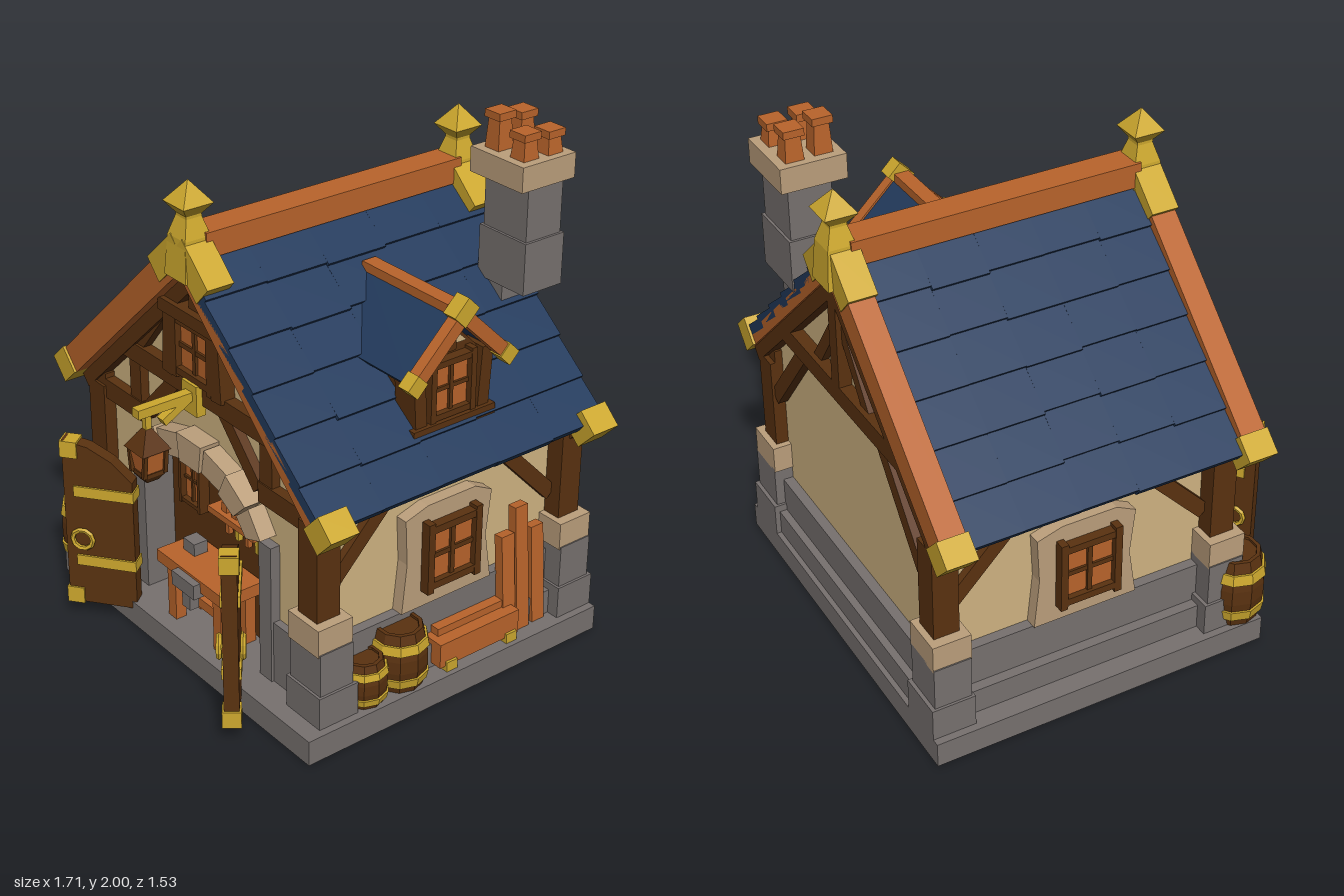
import * as THREE from 'three';

const mat = (name, color) => new THREE.MeshStandardMaterial({ name, color, flatShading: true });
const WOOD = mat('dark wood', 0x5a3210), ORANGE = mat('orange wood', 0xb9642b), BLUE = mat('blue tile', 0x223a5c),
  GOLD = mat('gold metal', 0xcda82e), WALL = mat('plaster', 0xd0b482), STONE = mat('grey stone', 0x77716f),
  SAND = mat('sandstone', 0xbc9f7c);

let seed = 7;
const rnd = () => (seed = (seed * 16807) % 2147483647) / 2147483647;

function add(p, name, m, geo, x = 0, y = 0, z = 0) {
  const o = new THREE.Mesh(geo, m);
  o.name = name;
  o.position.set(x, y, z);
  p.add(o);
  return o;
}
function group(p, name, x = 0, y = 0, z = 0) {
  const g = new THREE.Group();
  g.name = name;
  g.position.set(x, y, z);
  p.add(g);
  return g;
}
// box given by its bounds
const box = (p, name, m, x0, x1, y0, y1, z0, z1) => add(p, name, m,
  new THREE.BoxGeometry(Math.abs(x1 - x0), y1 - y0, z1 - z0), (x0 + x1) / 2, (y0 + y1) / 2, (z0 + z1) / 2);
// straight timber between two points of a vertical plane
function beam(p, name, m, x1, y1, x2, y2, w, z0, z1) {
  const o = add(p, name, m, new THREE.BoxGeometry(Math.hypot(x2 - x1, y2 - y1), w, z1 - z0),
    (x1 + x2) / 2, (y1 + y2) / 2, (z0 + z1) / 2);
  o.rotation.z = Math.atan2(y2 - y1, x2 - x1);
  return o;
}
const outline = pts => new THREE.Shape(pts.map(q => new THREE.Vector2(q[0], q[1])));
const plate = (p, name, m, shape, z0, z1) => add(p, name, m,
  new THREE.ExtrudeGeometry(shape, { depth: z1 - z0, bevelEnabled: false, curveSegments: 10 }), 0, 0, z0);
// lathe with few sides, flats facing the axes when it has four
const turned = (p, name, m, pts, n, x, y, z) => add(p, name, m,
  new THREE.LatheGeometry(pts.map(q => new THREE.Vector2(q[0], q[1])), n, Math.PI / n), x, y, z);

// four-pane window facing +z
function windowUnit(p, x, y, z, w, h) {
  const g = group(p, 'window', x, y, z), t = w * 0.13;
  box(g, 'panes', ORANGE, -w / 2, w / 2, -h / 2, h / 2, -0.02, 0.005);
  for (const s of [-1, 1]) {
    box(g, 'frameSide', WOOD, s * w / 2 - t / 2, s * w / 2 + t / 2, -h / 2 - t, h / 2 + t, -0.02, 0.03);
    box(g, 'frameRail', WOOD, -w / 2, w / 2, s * h / 2 - t / 2, s * h / 2 + t / 2, -0.02, 0.028);
  }
  box(g, 'mullion', WOOD, -t / 3, t / 3, -h / 2, h / 2, 0, 0.016);
  box(g, 'transom', WOOD, -w / 2, w / 2, -t / 3, t / 3, 0, 0.014);
}

function barrel(p, x, z, r, h) {
  const g = group(p, 'barrel', x, 0.09, z);
  const rad = t => r * (0.8 + 0.2 * Math.sin(Math.PI * t));
  const ts = [0, 0.2, 0.4, 0.6, 0.8, 1];
  turned(g, 'staves', WOOD, [[0, 0], ...ts.map(t => [rad(t), t * h]), [rad(1) - 0.015, h], [rad(1) - 0.015, h - 0.01], [0, h - 0.01]], 10, 0, 0, 0);
  for (const t of [0.22, 0.78]) turned(g, 'hoop', GOLD,
    [[rad(t - 0.07) - 0.01, (t - 0.07) * h], [rad(t - 0.07) + 0.008, (t - 0.07) * h],
      [rad(t + 0.07) + 0.008, (t + 0.07) * h], [rad(t + 0.07) - 0.01, (t + 0.07) * h]], 10, 0, 0, 0);
}

function walls(root) {
  const g = group(root, 'walls');
  box(g, 'foundation', STONE, -0.79, 0.79, 0, 0.1, -0.76, 0.61);
  const gable = [[-0.62, 0.1], [-0.62, 0.98], [0, 1.57], [0.62, 0.98], [0.62, 0.1]];
  plate(g, 'backWall', WALL, outline(gable), -0.67, -0.6);
  // front wall with arched doorway
  const front = outline([...gable, [0.37, 0.1], [0.37, 0.62]]);
  front.absellipse(0, 0.62, 0.37, 0.21, 0, Math.PI, false);
  front.lineTo(-0.37, 0.1);
  plate(g, 'frontWall', WALL, front, 0.38, 0.46);
  box(g, 'workshopBackdrop', WOOD, -0.6, 0.6, 0.1, 0.95, 0.33, 0.37);
  box(g, 'backCourse', STONE, -0.64, 0.64, 0.1, 0.34, -0.71, -0.6);
  box(g, 'backStep', STONE, -0.7, 0.7, 0.1, 0.2, -0.74, -0.6);
  for (const s of [-1, 1]) {
    box(g, 'sideWall', WALL, s * 0.57, s * 0.63, 0.1, 0.95, -0.64, 0.42);
    box(g, 'sideCourse', STONE, s * 0.58, s * 0.67, 0.1, 0.36, -0.64, 0.42);
    box(g, 'sideStep', STONE, s * 0.58, s * 0.71, 0.1, 0.2, -0.64, 0.42);
    box(g, 'frontCourse', STONE, s * 0.38, s * 0.6, 0.1, 0.35, 0.4, 0.49);
    box(g, 'doorJamb', STONE, s * 0.36, s * 0.43, 0.1, 0.66, 0.37, 0.5);
    box(g, 'eaveBeam', WOOD, s * 0.6, s * 0.7, 0.85, 0.92, -0.7, 0.5);
    for (const z of [0.46, -0.67]) {
      box(g, 'pillarFoot', STONE, s * 0.57, s * 0.76, 0.1, 0.23, z - 0.09, z + 0.08);
      box(g, 'pillar', STONE, s * 0.58, s * 0.75, 0.23, 0.4, z - 0.075, z + 0.07);
      box(g, 'pillarCap', SAND, s * 0.575, s * 0.745, 0.39, 0.5, z - 0.075, z + 0.075);
      box(g, 'cornerPost', WOOD, s * 0.6, s * 0.705, 0.5, 0.87, z - 0.05, z + 0.05);
    }
    // side window and braces, facing outward
    const side = group(g, 'sideFace');
    side.rotation.y = s * Math.PI / 2;
    beam(side, 'brace', WOOD, -s * 0.41, 0.59, -s * 0.13, 0.88, 0.06, 0.61, 0.66);
    beam(side, 'brace', WOOD, s * 0.62, 0.59, s * 0.34, 0.88, 0.06, 0.61, 0.66);
    const surround = outline([[-0.21, 0.36], [-0.19, 0.56], [-0.2, 0.74], [-0.1, 0.77], [0.12, 0.77], [0.2, 0.73], [0.18, 0.55], [0.21, 0.36]]);
    const w = group(side, 'windowBay', s * 0.1, 0, 0);
    plate(w, 'windowSurround', SAND, surround, 0.62, 0.68);
    windowUnit(w, 0, 0.57, 0.69, 0.22, 0.23);
  }
  // timber framing, front and back
  for (const [z0, z1] of [[0.44, 0.51], [-0.72, -0.65]]) {
    for (const s of [-1, 1]) {
      beam(g, 'rafter', WOOD, 0, 1.55, s * 0.74, 0.86, 0.09, z0, z1);
      if (z0 < 0) {
        beam(g, 'brace', WOOD, s * 0.3, 1.09, s * 0.6, 0.72, 0.06, z0 + 0.01, z1);
        beam(g, 'strut', WOOD, 0, 1.4, s * 0.2, 1.12, 0.05, z0 + 0.02, z1);
        continue;
      }
      box(g, 'sill', WOOD, s * 0.36, s * 0.64, 0.82, 0.9, z0, z1 - 0.01);
      beam(g, 'stud', WOOD, s * 0.4, 0.84, s * 0.4, 1.08, 0.07, z0, z1 - 0.015);
      beam(g, 'brace', WOOD, s * 0.14, 1.08, s * 0.35, 0.86, 0.06, z0, z1 - 0.015);
      beam(g, 'brace', WOOD, s * 0.18, 1.37, s * 0.4, 1.1, 0.055, z0, z1 - 0.015);
      beam(g, 'windowPost', WOOD, s * 0.15, 1.12, s * 0.13, 1.4, 0.06, z0, z1 + 0.01);
    }
    box(g, 'tieBeam', WOOD, -0.52, 0.52, 1.06, 1.135, z0, z1 - 0.005);
    beam(g, 'kingPost', WOOD, 0, z0 < 0 ? 1.12 : 1.4, 0, 1.56, 0.06, z0, z1 - 0.01);
  }
  box(g, 'collarBeam', WOOD, -0.18, 0.18, 1.36, 1.41, 0.44, 0.53);
  windowUnit(g, 0, 1.25, 0.49, 0.21, 0.2);
  // arch stones
  const at = (rx, ry, a) => [rx * Math.cos(a), 0.6 + ry * Math.sin(a)];
  for (let i = 0; i < 7; i++) {
    const a = 0.3 + i * 0.363, b = a + 0.355, k = i % 2 * 0.012;
    plate(g, 'archStone', SAND, outline([at(0.34, 0.21, a), at(0.43, 0.31 + k, a), at(0.43, 0.31 + k, b), at(0.34, 0.21, b)]), 0.38, 0.53 + k);
  }
}

function roof(root) {
  const g = group(root, 'roof'), rows = 6, step = 1.05 / rows;
  for (const s of [-1, 1]) {
    // local x runs down the slope
    const slope = group(g, 'slope', 0, 1.67, 0);
    slope.rotation.set(0, s > 0 ? 0 : Math.PI, -0.753);
    const put = (name, m, x0, x1, y0, y1, z0, z1) => box(slope, name, m, x0, x1, y0, y1,
      s > 0 ? z0 : -z1, s > 0 ? z1 : -z0);
    put('sheathing', WOOD, 0.02, 1.06, -0.075, -0.035, -0.7, 0.5);
    const zs = s > 0 ? [-0.73, 0.56] : [-0.64, 0.47], n = 5, w = (zs[1] - zs[0]) / n;
    for (let i = 0; i < rows; i++) for (let j = 0; j < n; j++) {
      const x = 0.01 + i * step, r = rnd() * 0.016;
      const t = put('tile', BLUE, x, x + step + 0.03 + r, -0.04, 0.0, zs[0] + j * w, zs[0] + (j + 1) * w);
      t.rotation.z = 0.07 + r;
    }
    const top = s > 0 ? -0.022 : 0.03;
    for (const z of [0.51, -0.68]) {
      put('bargeBoard', ORANGE, 0, 1.08, -0.075, top, z - 0.05, z + 0.05);
      put('eaveCap', GOLD, 1.04, 1.14, -0.075, 0.035, z - 0.06, z + 0.06);
      put('finialArm', GOLD, 0, 0.2, -0.05, 0.05, z - 0.055, z + 0.055);
    }
  }
  box(g, 'ridgeBeam', ORANGE, -0.06, 0.06, 1.62, 1.715, -0.66, 0.48);
  for (const z of [0.51, -0.69]) turned(g, 'finial', GOLD, [[0, 1.55], [0.09, 1.55], [0.075, 1.7], [0.045, 1.77], [0.045, 1.78], [0.088, 1.82], [0, 1.9]], 4, 0, 0, z);
}

function dormer(root) {
  const g = group(root, 'dormer', 0, 0, -0.12);
  g.rotation.y = Math.PI / 2;
  plate(g, 'dormerBody', WOOD, outline([[-0.14, 1.0], [-0.16, 1.27], [0, 1.43], [0.16, 1.27], [0.14, 1.0]]), 0.25, 0.62);
  plate(g, 'dormerGable', WALL, outline([[-0.08, 1.335], [0, 1.41], [0.08, 1.335]]), 0.62, 0.625);
  box(g, 'dormerKingPost', WOOD, -0.02, 0.02, 1.32, 1.43, 0.61, 0.64);
  box(g, 'dormerSill', WOOD, -0.185, 0.185, 1.03, 1.075, 0.55, 0.67);
  windowUnit(g, 0, 1.19, 0.63, 0.18, 0.2);
  for (const s of [-1, 1]) {
    beam(g, 'dormerPost', WOOD, s * 0.14, 1.07, s * 0.155, 1.3, 0.05, 0.55, 0.655);
    beam(g, 'dormerRoof', BLUE, 0, 1.475, s * 0.215, 1.265, 0.035, 0.2, 0.68);
    beam(g, 'dormerBarge', ORANGE, 0, 1.475, s * 0.215, 1.265, 0.05, 0.66, 0.705);
    beam(g, 'dormerTip', GOLD, s * 0.185, 1.295, s * 0.23, 1.25, 0.06, 0.655, 0.71);
  }
  box(g, 'dormerRidge', ORANGE, -0.03, 0.03, 1.45, 1.505, 0.19, 0.69);
  beam(g, 'dormerPeak', GOLD, -0.03, 1.46, 0.03, 1.52, 0.07, 0.65, 0.712);
}

function chimney(root) {
  const g = group(root, 'chimney');
  box(g, 'stackFoot', STONE, 0.3, 0.41, 1.22, 1.4, -0.72, -0.56);
  box(g, 'stack', STONE, 0.29, 0.53, 1.36, 1.56, -0.735, -0.55);
  box(g, 'stackUpper', STONE, 0.3, 0.52, 1.56, 1.77, -0.725, -0.56);
  box(g, 'chimneyCap', SAND, 0.27, 0.54, 1.765, 1.86, -0.76, -0.51);
  for (const [x, z, h] of [[0.34, -0.58, 0.14], [0.47, -0.58, 0.1], [0.335, -0.69, 0.12], [0.475, -0.69, 0.09]])
    turned(g, 'chimneyPot', ORANGE, [[0, 0], [0.05, 0], [0.04, h - 0.03], [0.055, h - 0.028], [0.055, h], [0, h]], 4, x, 1.86, z);
}

function doors(root) {
  for (const s of [-1, 1]) {
    const g = group(root, 'door', s * 0.31, 0, 0.575);
    g.rotation.y = -s * 0.66;
    const leaf = outline([[0, 0.07], [0, 0.62], [s * 0.08, 0.7], [s * 0.17, 0.75], [s * 0.27, 0.77], [s * 0.27, 0.07]]);
    plate(g, 'doorLeaf', WOOD, leaf, -0.025, 0.03);
    for (const y of [0.26, 0.56]) box(g, 'strap', GOLD, s * -0.005, s * 0.23, y - 0.022, y + 0.022, -0.033, 0.038);
    for (const y of [0.1, 0.735]) box(g, 'cornerPlate', GOLD, s * 0.21, s * 0.277, y - 0.035, y + 0.033, -0.032, 0.037);
    add(g, 'pullRing', GOLD, new THREE.TorusGeometry(0.04, 0.01, 5, 10), s * 0.2, 0.36, 0.045);
    add(g, 'pullRing', GOLD, new THREE.TorusGeometry(0.04, 0.01, 5, 10), s * 0.2, 0.36, -0.04);
  }
}

function workshop(root) {
  const g = group(root, 'workshop');
  windowUnit(g, -0.19, 0.61, 0.385, 0.12, 0.19);
  box(g, 'benchTop', ORANGE, -0.2, 0.22, 0.32, 0.37, 0.38, 0.56);
  for (const x of [-0.13, 0.16]) {
    for (const z of [0.41, 0.52]) beam(g, 'benchLeg', ORANGE, x, 0.1, x, 0.33, 0.05, z - 0.02, z + 0.025);
  }
  box(g, 'benchStretcher', ORANGE, -0.13, 0.16, 0.16, 0.2, 0.45, 0.48);
  box(g, 'viseJaw', STONE, -0.06, 0.08, 0.3, 0.36, 0.54, 0.59);
  box(g, 'viseStem', STONE, -0.01, 0.04, 0.23, 0.31, 0.54, 0.58);
  box(g, 'toolBlock', STONE, -0.14, -0.07, 0.37, 0.42, 0.42, 0.48);
  box(g, 'shelf', ORANGE, -0.02, 0.26, 0.58, 0.605, 0.37, 0.45);
  for (let i = 0; i < 4; i++) {
    const x = 0.03 + i * 0.06;
    box(g, 'toolHandle', i % 2 ? GOLD : ORANGE, x - 0.01, x + 0.01, 0.49, 0.58, 0.38, 0.4);
    box(g, 'shelfJar', ORANGE, x + 0.01, x + 0.04, 0.605, 0.64, 0.4, 0.43);
  }
}

function lantern(root) {
  const g = group(root, 'lantern', 0, 0, 0.71);
  box(g, 'bracketPlate', GOLD, -0.045, 0.045, 1.02, 1.14, -0.22, -0.18);
  box(g, 'bracketArm', GOLD, -0.02, 0.02, 1.075, 1.11, -0.2, 0.045);
  const stay = beam(g, 'bracketStay', GOLD, 0.06, 1.1, 0.2, 1.03, 0.03, -0.018, 0.018);
  stay.position.set(0, 1.065, -0.13);
  stay.rotation.set(0.5, Math.PI / 2, 0);
  box(g, 'hook', GOLD, -0.012, 0.012, 1.01, 1.08, -0.012, 0.012);
  turned(g, 'lanternRoof', WOOD, [[0, 0.945], [0.085, 0.945], [0.02, 1.02], [0, 1.03]], 4, 0, 0, 0);
  turned(g, 'lanternGlass', ORANGE, [[0, 0.85], [0.05, 0.85], [0.068, 0.945], [0, 0.945]], 4, 0, 0, 0);
  turned(g, 'lanternBase', WOOD, [[0, 0.82], [0.035, 0.82], [0.058, 0.845], [0.058, 0.86], [0, 0.86]], 4, 0, 0, 0);
  for (const a of [-1, 1]) for (const b of [-1, 1]) beam(g, 'lanternBar', WOOD, a * 0.038, 0.85, a * 0.05, 0.95, 0.014, b * 0.043 - 0.008, b * 0.043 + 0.008);
}

function yard(root) {
  const g = group(root, 'yard');
  barrel(g, -0.69, 0.54, 0.12, 0.3);
  barrel(g, -0.58, 0.61, 0.085, 0.19);
  barrel(g, 0.7, 0.3, 0.09, 0.19);
  barrel(g, 0.69, 0.13, 0.11, 0.25);
  // stacked and leaning lumber
  box(g, 'lyingPlank', ORANGE, 0.64, 0.76, 0.12, 0.22, -0.39, -0.01);
  box(g, 'lyingPlank', ORANGE, 0.64, 0.71, 0.22, 0.25, -0.37, -0.04);
  for (const z of [-0.06, -0.35]) box(g, 'plankClamp', GOLD, 0.63, 0.77, 0.08, 0.14, z - 0.025, z + 0.025);
  for (const [z, h] of [[-0.38, 0.51], [-0.445, 0.61], [-0.525, 0.5]]) {
    const p = box(g, 'leaningPlank', ORANGE, 0.67, 0.71, 0.1, h, z - 0.03, z + 0.03);
    p.rotation.z = 0.08;
  }
}

export function createModel() {
  const root = new THREE.Group();
  root.name = 'workshopCottage';
  for (const build of [walls, roof, dormer, chimney, doors, workshop, lantern, yard]) build(root);
  return root;
}
